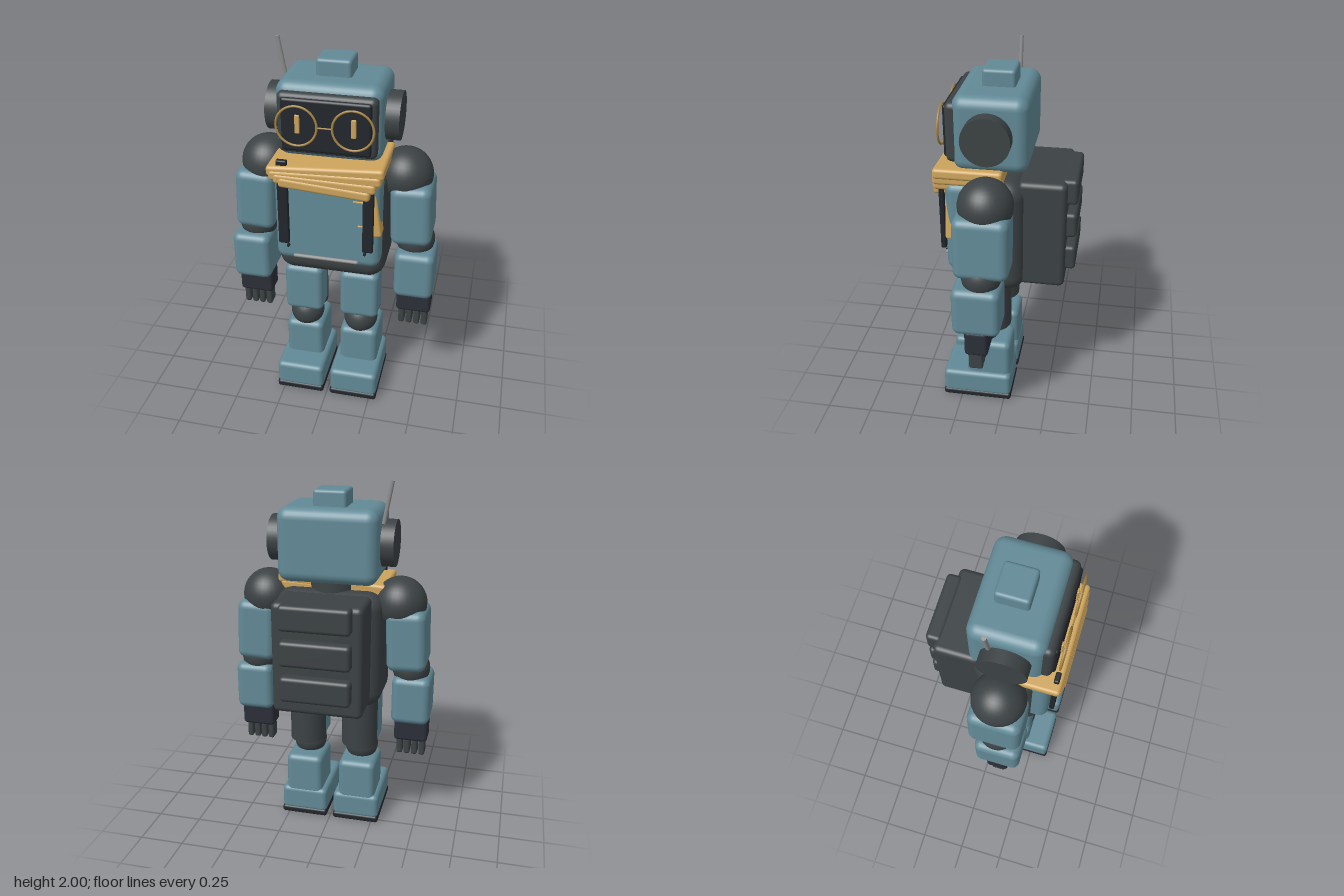
import * as THREE from 'three';
import { RoundedBoxGeometry } from 'three/addons/geometries/RoundedBoxGeometry.js';

const paint = (color) => new THREE.MeshStandardMaterial({ color });
const TEAL = paint(0x628a97), DARK = paint(0x3c4244), BLACK = paint(0x22262b);
const HAND = paint(0x2b2f38), GOLD = paint(0xcda45c), BRASS = paint(0xa88643), STEEL = paint(0x8c8c8c);

function add(parent, name, geometry, material, x = 0, y = 0, z = 0) {
  const mesh = new THREE.Mesh(geometry, material);
  mesh.name = name;
  mesh.position.set(x, y, z);
  parent.add(mesh);
  return mesh;
}

// Rounded box given by its extents [min, max] on each axis
function block(parent, name, material, [x0, x1], [y0, y1], [z0, z1], r = 0.03) {
  const geometry = new RoundedBoxGeometry(x1 - x0, y1 - y0, z1 - z0, 4, r);
  return add(parent, name, geometry, material, (x0 + x1) / 2, (y0 + y1) / 2, (z0 + z1) / 2);
}

function ball(parent, name, r, x, y, z) {
  return add(parent, name, new THREE.SphereGeometry(r, 32, 20), DARK, x, y, z);
}

// Thin round bar between two points
function rod(parent, name, material, a, b, r) {
  const curve = new THREE.LineCurve3(new THREE.Vector3(...a), new THREE.Vector3(...b));
  const bar = new THREE.CylinderGeometry(r, r, curve.getLength(), 12);
  const mesh = add(parent, name, bar, material);
  mesh.position.copy(curve.getPoint(0.5));
  mesh.quaternion.setFromUnitVectors(new THREE.Vector3(0, 1, 0), curve.getTangent(0));
  return mesh;
}

function buildHead() {
  const head = new THREE.Group();
  head.name = 'head';
  block(head, 'skull', TEAL, [-0.27, 0.27], [1.465, 1.86], [-0.125, 0.26], 0.06);
  block(head, 'crownBlock', TEAL, [-0.09, 0.09], [1.82, 1.945], [-0.036, 0.134], 0.018);
  block(head, 'faceBezel', DARK, [-0.25, 0.25], [1.505, 1.82], [0.22, 0.295], 0.03);
  block(head, 'faceScreen', BLACK, [-0.225, 0.225], [1.525, 1.8], [0.26, 0.308], 0.015);
  // Ears, spectacles and lit eyes
  for (const s of [-1, 1]) {
    const ear = new THREE.CylinderGeometry(0.125, 0.125, 0.08, 40);
    add(head, 'ear', ear, DARK, s * 0.3, 1.665, 0.075).rotation.z = Math.PI / 2;
    add(head, 'spectacleRim', new THREE.TorusGeometry(0.102, 0.006, 8, 40), BRASS, s * 0.14, 1.67, 0.33);
    block(head, 'eye', GOLD, [s * 0.14 - 0.012, s * 0.14 + 0.012], [1.625, 1.72], [0.3, 0.318], 0.004);
  }
  rod(head, 'spectacleBridge', BRASS, [-0.04, 1.67, 0.33], [0.04, 1.67, 0.33], 0.004);
  rod(head, 'antenna', STEEL, [-0.28, 1.78, -0.005], [-0.32, 2, -0.005], 0.011);
  return head;
}

function buildTorso() {
  const torso = new THREE.Group();
  torso.name = 'torso';
  block(torso, 'body', DARK, [-0.295, 0.295], [0.765, 1.415], [-0.11, 0.26], 0.09);
  block(torso, 'chestPanel', TEAL, [-0.28, 0.28], [0.875, 1.4], [0.16, 0.308], 0.05);
  add(torso, 'neck', new THREE.CylinderGeometry(0.13, 0.13, 0.12, 32), DARK, 0, 1.43, 0.07);
  for (const s of [-1, 1]) {
    block(torso, 'strap', BLACK, [s * 0.222 - 0.028, s * 0.222 + 0.028], [0.998, 1.48], [0.312, 0.34], 0.008);
    const rivet = new THREE.CylinderGeometry(0.008, 0.008, 0.03, 12);
    add(torso, 'rivet', rivet, BLACK, s * 0.205, 0.975, 0.308).rotation.x = Math.PI / 2;
  }
  const bar = new THREE.CapsuleGeometry(0.01, 0.33, 6, 12);
  add(torso, 'chestBar', bar, STEEL, 0, 0.925, 0.328).rotation.z = Math.PI / 2;

  // Backpack with three rolls
  block(torso, 'backpack', DARK, [-0.243, 0.243], [0.805, 1.415], [-0.322, -0.07], 0.03);
  for (const y of [0.96, 1.157, 1.35]) {
    block(torso, 'packPouch', DARK, [-0.19, 0.19], [y - 0.07, y + 0.07], [-0.375, -0.29], 0.022);
  }
  return torso;
}

function buildScarf() {
  const scarf = new THREE.Group();
  scarf.name = 'scarf';
  // Folds: centre height, tilt, half width, front reach
  const folds = [[1.44, 0.065, 0.3, 0.358], [1.412, 0.035, 0.287, 0.363],
    [1.385, -0.015, 0.262, 0.368], [1.357, -0.07, 0.235, 0.373]];
  for (const [y, tilt, w, front] of folds) {
    block(scarf, 'scarfFold', GOLD, [-w, w], [y - 0.028, y + 0.028], [0, front], 0.018).rotation.z = tilt;
  }
  block(scarf, 'scarfTail', GOLD, [0.13, 0.27], [1.07, 1.36], [0.22, 0.305], 0.012).rotation.z = 0.13;
  block(scarf, 'tailStripe', GOLD, [0.14, 0.2], [1.27, 1.28], [0.29, 0.312], 0.003);
  block(scarf, 'tailStripe', GOLD, [0.165, 0.2], [1.13, 1.14], [0.29, 0.312], 0.003);
  return scarf;
}

function buildArm(s) {
  const arm = new THREE.Group();
  arm.name = s > 0 ? 'leftArm' : 'rightArm';
  const span = (c, w) => [s * c - w / 2, s * c + w / 2];
  ball(arm, 'shoulder', 0.143, s * 0.37, 1.345, 0.07);
  block(arm, 'upperArm', TEAL, span(0.42, 0.215), [0.985, 1.325], [-0.065, 0.222], 0.045).rotation.z = s * 0.04;
  ball(arm, 'elbow', 0.105, s * 0.44, 0.97, 0.085);
  block(arm, 'forearm', TEAL, span(0.453, 0.213), [0.66, 0.937], [-0.025, 0.23], 0.04);
  block(arm, 'hand', HAND, span(0.455, 0.19), [0.528, 0.68], [0.04, 0.165], 0.02);
  for (let i = 0; i < 4; i++) {
    block(arm, 'finger', DARK, span(0.39 + i * 0.043, 0.034), [0.43, 0.55], [0.07, 0.146], 0.012);
  }
  return arm;
}

function buildLeg(s) {
  const leg = new THREE.Group();
  leg.name = s > 0 ? 'leftLeg' : 'rightLeg';
  const span = (c, w) => [s * c - w / 2, s * c + w / 2];
  add(leg, 'thigh', new THREE.CylinderGeometry(0.104, 0.104, 0.36, 32), DARK, s * 0.155, 0.655, 0.08);
  block(leg, 'thighPlate', TEAL, span(0.157, 0.215), [0.482, 0.775], [0.06, 0.225], 0.035);
  ball(leg, 'knee', 0.096, s * 0.157, 0.435, 0.135);
  block(leg, 'shin', TEAL, span(0.157, 0.215), [0.13, 0.387], [-0.033, 0.22], 0.035);
  block(leg, 'foot', TEAL, span(0.155, 0.27), [0.025, 0.175], [-0.038, 0.355], 0.028);
  block(leg, 'sole', BLACK, span(0.155, 0.272), [0, 0.042], [-0.04, 0.357], 0.015);
  return leg;
}

export function createModel() {
  const model = new THREE.Group();
  model.name = 'robot';
  model.add(buildHead(), buildTorso(), buildScarf());
  for (const s of [-1, 1]) model.add(buildArm(s), buildLeg(s));
  return model;
}
